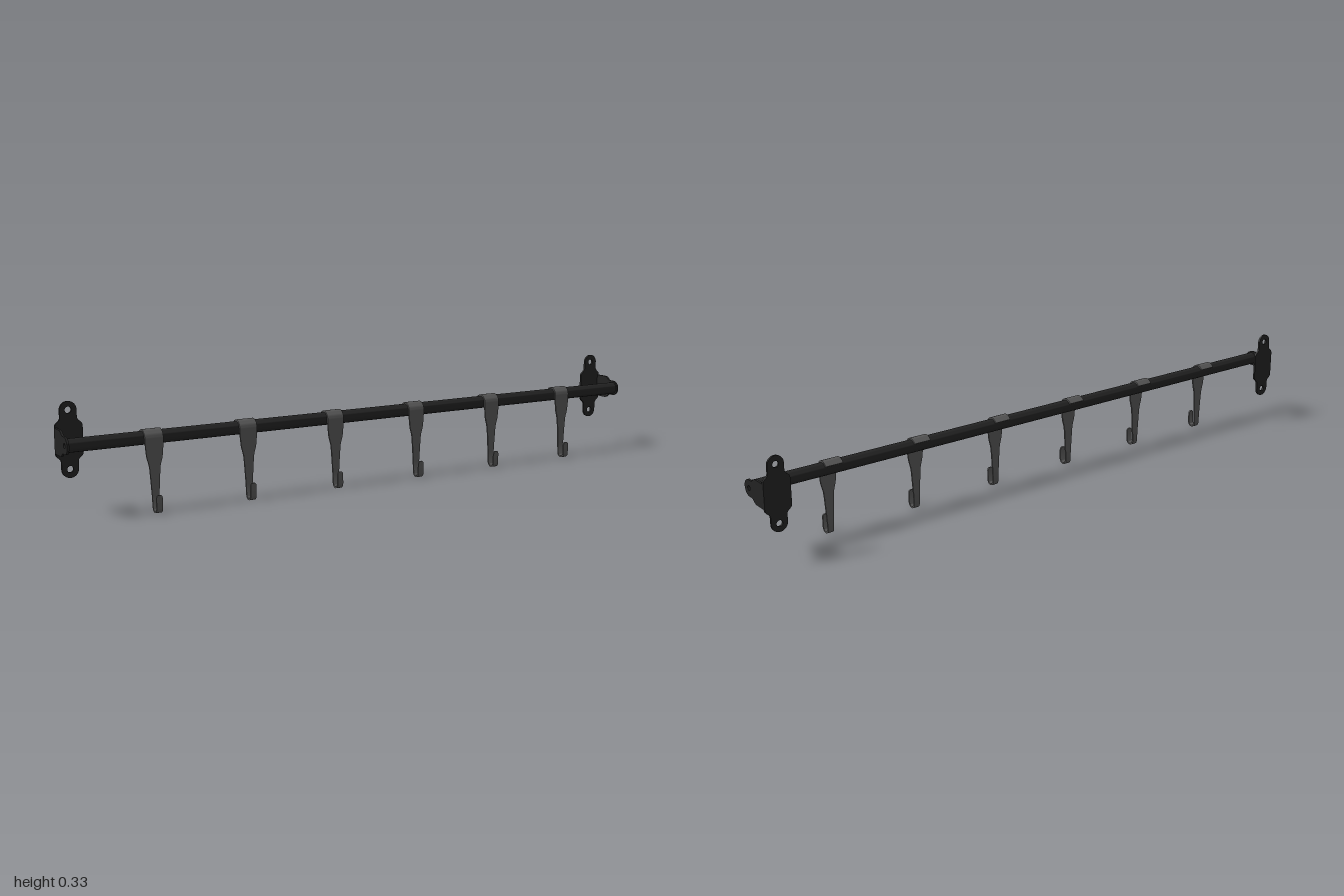
import * as THREE from 'three';
import { toCreasedNormals } from 'three/addons/utils/BufferGeometryUtils.js';

const BAR_Y = 0.216, BAR_Z = 0.017, BAR_R = 0.02;
const SHEET = 0.0065; // bracket sheet thickness
const LOBE = 0.025;   // radius of the rounded ears

function addHole(shape, x, y, r) {
  const hole = new THREE.Path();
  hole.absarc(x, y, r, 0, Math.PI * 2, true);
  shape.holes.push(hole);
}

function extrudeSheet(shape) {
  const g = new THREE.ExtrudeGeometry(shape, { depth: SHEET, bevelEnabled: false, curveSegments: 16 });
  return toCreasedNormals(g, 0.6);
}

// Wall plate: wide middle, S-curved shoulders, a drilled ear above and below
function wallPlateGeometry() {
  const w = 0.041, ear = 0.086;
  const s = new THREE.Shape();
  s.moveTo(w, -0.037);
  s.lineTo(w, 0.037);
  s.bezierCurveTo(w, 0.054, LOBE, 0.05, LOBE, 0.066);
  s.lineTo(LOBE, ear);
  s.absarc(0, ear, LOBE, 0, Math.PI, false);
  s.lineTo(-LOBE, 0.066);
  s.bezierCurveTo(-LOBE, 0.05, -w, 0.054, -w, 0.037);
  s.lineTo(-w, -0.037);
  s.bezierCurveTo(-w, -0.054, -LOBE, -0.05, -LOBE, -0.066);
  s.lineTo(-LOBE, -ear);
  s.absarc(0, -ear, LOBE, Math.PI, Math.PI * 2, false);
  s.lineTo(LOBE, -0.066);
  s.bezierCurveTo(LOBE, -0.05, w, -0.054, w, -0.037);
  addHole(s, 0, ear, 0.0095);
  addHole(s, 0, -ear, 0.0095);
  return extrudeSheet(s);
}

// Side arm: drawn in (z, y), reaching forward to a drilled ear over the bar end
function sideArmGeometry() {
  const h = 0.0375, back = -0.066;
  const s = new THREE.Shape();
  s.moveTo(back, -h);
  s.lineTo(-0.024, -h);
  s.bezierCurveTo(-0.008, -h, -0.01, -LOBE, 0.006, -LOBE);
  s.lineTo(BAR_Z, -LOBE);
  s.absarc(BAR_Z, 0, LOBE, -Math.PI / 2, Math.PI / 2, false);
  s.lineTo(0.006, LOBE);
  s.bezierCurveTo(-0.01, LOBE, -0.008, h, -0.024, h);
  s.lineTo(back, h);
  s.closePath();
  addHole(s, BAR_Z, 0, 0.0075);
  return extrudeSheet(s).rotateY(-Math.PI / 2).translate(SHEET / 2, 0, 0);
}

// Hollow bar along x
function barGeometry() {
  const h = 1 - SHEET, ri = 0.0155;
  const profile = [[ri, -h], [BAR_R, -h], [BAR_R, h], [ri, h], [ri, -h]].map(p => new THREE.Vector2(...p));
  return toCreasedNormals(new THREE.LatheGeometry(profile, 32), 0.6).rotateZ(Math.PI / 2);
}

// Hook: flat strap of varying width swept along a path in the (z, y) plane
function hookGeometry() {
  const t = 0.0025; // half thickness
  const stations = []; // z, y, normal z, normal y, half width
  const arc = (cz, cy, r, a0, a1, n, side, width) => {
    for (let i = 0; i <= n; i++) {
      const a = a0 + (a1 - a0) * i / n, c = Math.cos(a), s = Math.sin(a);
      stations.push([cz + c * r, cy + s * r, c * side, s * side, width]);
    }
  };
  // wrap over the bar, from the back to the front
  arc(BAR_Z, BAR_Y, BAR_R + t, Math.PI * 0.83, 0, 16, 1, 0.028);
  // tapering shank
  const z = BAR_Z + BAR_R + t;
  for (const [y, w] of [[0.19, 0.027], [0.165, 0.0245], [0.155, 0.0225], [0.145, 0.0195],
    [0.135, 0.0172], [0.125, 0.016], [0.09, 0.0135], [0.05, 0.011]]) stations.push([z, y, 1, 0, w]);
  // upturned end
  const r = 0.014;
  arc(z + r, r + t, r, Math.PI, Math.PI * 2, 16, -1, 0.0095);
  for (const [y, w] of [[0.046, 0.0095], [0.051, 0.0085], [0.0545, 0.005]]) stations.push([z + 2 * r, y, -1, 0, w]);

  const pos = [], idx = [];
  for (const [sz, sy, nz, ny, w] of stations) {
    for (const [a, b] of [[-1, 1], [1, 1], [1, -1], [-1, -1]]) {
      pos.push(a * w, sy + ny * t * b, sz + nz * t * b);
    }
  }
  const n = stations.length;
  for (let i = 0; i < n - 1; i++) {
    for (let k = 0; k < 4; k++) {
      const a = i * 4 + k, b = i * 4 + (k + 1) % 4;
      idx.push(a, a + 4, b, b, a + 4, b + 4);
    }
  }
  const e = (n - 1) * 4;
  idx.push(0, 1, 2, 0, 2, 3, e, e + 2, e + 1, e, e + 3, e + 2);
  const g = new THREE.BufferGeometry();
  g.setAttribute('position', new THREE.Float32BufferAttribute(pos, 3));
  g.setIndex(idx);
  return toCreasedNormals(g, 0.7);
}

export function createModel() {
  const blackMetal = new THREE.MeshStandardMaterial({ color: 0x222222 });
  blackMetal.name = 'blackMetal';
  const greyMetal = new THREE.MeshStandardMaterial({ color: 0x555555 });
  greyMetal.name = 'greyMetal';

  const model = new THREE.Group();
  model.name = 'hookRail';
  const add = (parent, name, geometry, material, x, y, z) => {
    const mesh = new THREE.Mesh(geometry, material);
    mesh.name = name;
    mesh.position.set(x, y, z);
    parent.add(mesh);
  };

  add(model, 'bar', barGeometry(), blackMetal, 0, BAR_Y, BAR_Z);

  // Angle bracket at each end
  const plate = wallPlateGeometry(), arm = sideArmGeometry();
  for (const [side, name] of [[1, 'leftBracket'], [-1, 'rightBracket']]) {
    const bracket = new THREE.Group();
    bracket.name = name;
    add(bracket, 'wallPlate', plate, blackMetal, side * 0.959, BAR_Y, -0.07);
    add(bracket, 'sideArm', arm, blackMetal, side * (1 - SHEET / 2), BAR_Y, 0);
    model.add(bracket);
  }

  // Six evenly spaced hooks
  const hook = hookGeometry();
  for (let i = 0; i < 6; i++) add(model, 'hook' + (i + 1), hook, greyMetal, (i - 2.5) * 0.298, 0, 0);

  return model;
}
